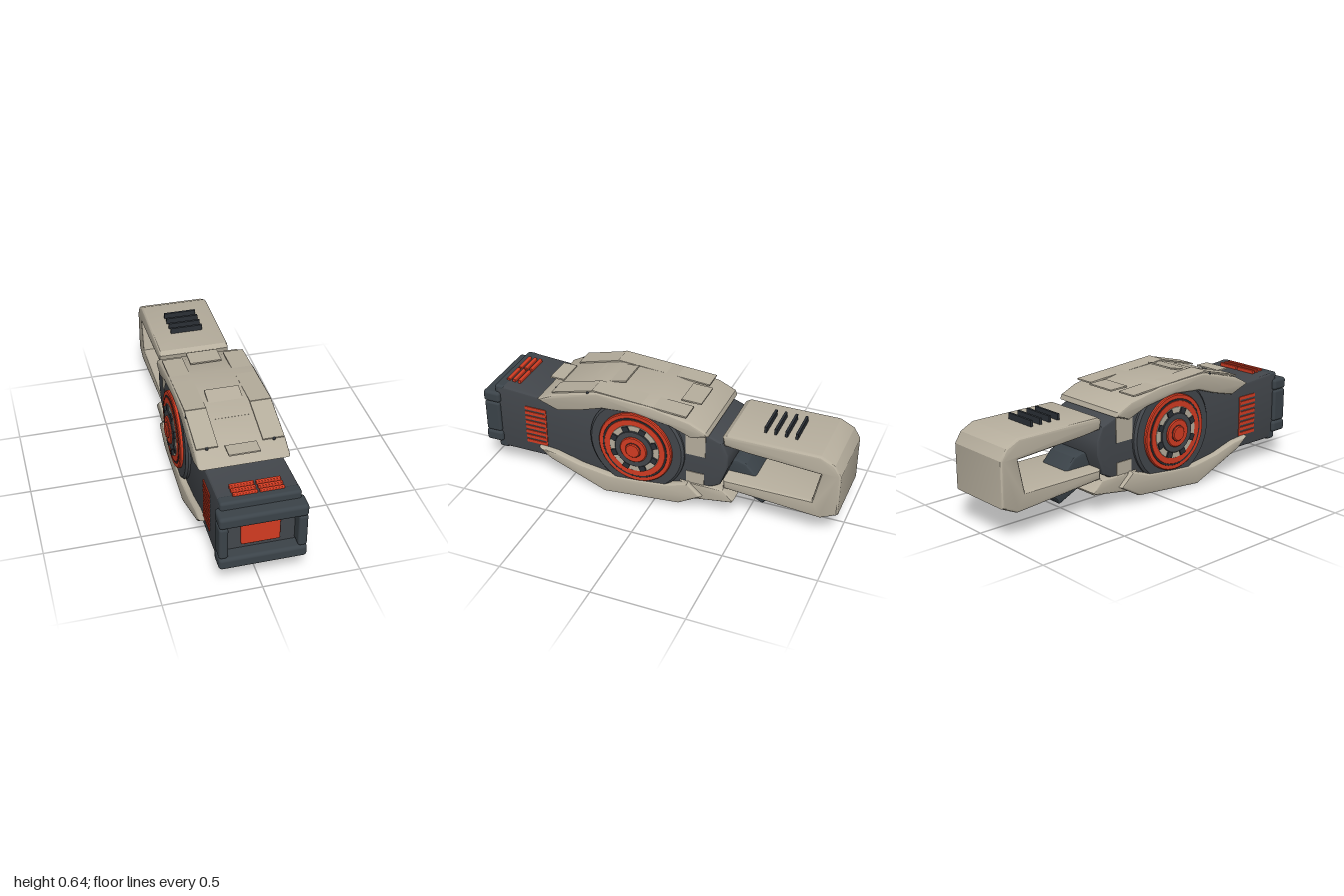
import * as THREE from 'three';
import { toCreasedNormals } from 'three/addons/utils/BufferGeometryUtils.js';
import { RoundedBoxGeometry } from 'three/addons/geometries/RoundedBoxGeometry.js';

const paint = (name, color) => {
  const m = new THREE.MeshStandardMaterial({ color });
  m.name = name;
  return m;
};

export function createModel() {
  const root = new THREE.Group();
  root.name = 'device';
  const shell = paint('warm grey', 0xb7af9e);
  const body = paint('charcoal', 0x43474c);
  const trim = paint('slate', 0x3b4349);
  const black = paint('black grey', 0x2b3036);
  const red = paint('red orange', 0xd43c22);

  const add = (name, geo, mat, x = 0, y = 0, z = 0, tilt = 0) => {
    const m = new THREE.Mesh(geo, mat);
    m.name = name;
    m.position.set(x, y, z);
    m.rotation.x = tilt;
    root.add(m);
    return m;
  };
  const box = (name, mat, w, h, d, x, y, z, r = 0) =>
    add(name, r ? new RoundedBoxGeometry(w, h, d, 3, r) : new THREE.BoxGeometry(w, h, d), mat, x, y, z);

  // Side profile of [z, y] points, extruded across x with bevelled flanks
  const slab = (name, mat, half, bevel, pts) => {
    const shape = new THREE.Shape(pts.map(([z, y]) => new THREE.Vector2(z, y)));
    const depth = 2 * (half - bevel);
    const g = new THREE.ExtrudeGeometry(shape, {
      depth, bevelEnabled: true, bevelSize: bevel, bevelThickness: bevel, bevelOffset: -bevel, bevelSegments: 3,
    });
    g.translate(0, 0, -depth / 2);
    g.rotateY(-Math.PI / 2);
    return add(name, toCreasedNormals(g, 0.5), mat);
  };

  // Thin plate running between two [z, y] points of its top edge
  const plate = (name, x, w, [z0, y0], [z1, y1]) => {
    const len = Math.hypot(z1 - z0, y1 - y0);
    add(name, new THREE.BoxGeometry(w, 0.008, len), shell, x, (y0 + y1) / 2 - 0.004, (z0 + z1) / 2,
      Math.atan2(y0 - y1, z1 - z0));
  };

  // Core body
  slab('coreBody', body, 0.2, 0.015, [
    [0.93, 0.13], [0.93, 0.5], [0.91, 0.51], [0.62, 0.49], [0.3, 0.57], [0, 0.56], [-0.25, 0.51],
    [-0.38, 0.46], [-0.41, 0.39], [-0.41, 0.31], [-0.37, 0.2], [-0.28, 0.15], [0.25, 0.06], [0.6, 0.12], [0.92, 0.12],
  ]);

  // Upper and lower armour
  slab('upperShell', shell, 0.232, 0.016, [
    [0.66, 0.5], [0.57, 0.55], [0.31, 0.622], [0, 0.606], [-0.21, 0.565], [-0.3, 0.525], [-0.31, 0.5],
    [-0.22, 0.47], [-0.1, 0.515], [0.1, 0.545], [0.28, 0.53], [0.4, 0.49], [0.54, 0.455],
  ]);
  slab('lowerShell', shell, 0.232, 0.016, [
    [0.67, 0.19], [0.6, 0.13], [0.28, 0], [-0.15, 0.04], [-0.28, 0.115], [-0.2, 0.185], [-0.08, 0.145],
    [0.1, 0.125], [0.25, 0.115], [0.42, 0.14], [0.56, 0.18],
  ]);
  slab('rearLowerShell', shell, 0.21, 0.012, [
    [-0.18, 0.07], [-0.44, 0.11], [-0.45, 0.125], [-0.39, 0.18], [-0.15, 0.18],
  ]);

  // Plates on the upper shell
  plate('frontCentrePlate', 0, 0.16, [0.57, 0.56], [0.65, 0.56]);
  plate('middleCentrePlate', 0, 0.18, [0.2, 0.64], [0.4, 0.598]);
  plate('rearCentrePlate', 0, 0.17, [-0.22, 0.597], [-0.11, 0.6]);
  for (const s of [1, -1]) {
    plate('rearSidePlate', s * 0.168, 0.11, [-0.19, 0.592], [0.335, 0.628]);
    plate('frontSidePlate', s * 0.168, 0.11, [0.33, 0.626], [0.57, 0.563]);
    for (const [x, y, z] of [[0.22, 0.607, 0.36], [0.17, 0.556, 0.57]])
      add('bolt', new THREE.SphereGeometry(0.009, 8, 6), black, s * x, y, z);

    // Light side inserts behind the wheel
    box('upperSideInsert', shell, 0.01, 0.15, 0.11, s * 0.199, 0.43, -0.235);
    box('lowerSideInsert', shell, 0.01, 0.085, 0.1, s * 0.199, 0.205, -0.235);

    // Side vents
    for (let i = 0; i < 8; i++)
      box('sideVent', red, 0.01, 0.018, 0.125, s * 0.2, 0.2 + i * 0.03, 0.69);
    box('sideVentSpine', red, 0.008, 0.22, 0.008, s * 0.2, 0.305, 0.63);

    // Top vents
    for (const z of [0.82, 0.853, 0.886])
      box('topVent', red, 0.123, 0.022, 0.018, s * 0.066, 0.511, z, 0.004);

    // Upright bars of the front frame
    box('frontSideBar', trim, 0.046, 0.185, 0.09, s * 0.195, 0.3125, 0.95, 0.014);
  }

  // Front frame and lens
  for (const y of [0.4375, 0.1875]) box('frontCrossBar', trim, 0.438, 0.066, 0.1, 0, y, 0.95, 0.018);
  box('frontUpperLip', trim, 0.4, 0.06, 0.06, 0, 0.481, 0.905, 0.015);
  box('frontLowerLip', trim, 0.4, 0.06, 0.06, 0, 0.142, 0.905, 0.015);
  box('frontLens', red, 0.195, 0.141, 0.03, 0, 0.3175, 0.932, 0.01);

  // Wheels: stepped discs showing on both flanks
  const disc = (name, mat, r, half, bevel = 0.003) => {
    const g = new THREE.LatheGeometry([
      [0, -half], [r - bevel, -half], [r, bevel - half], [r, half - bevel], [r - bevel, half], [0, half],
    ].map(([a, b]) => new THREE.Vector2(a, b)), 48);
    g.rotateZ(Math.PI / 2);
    add(name, toCreasedNormals(g, 0.5), mat, 0, 0.34, 0.09);
  };
  disc('wheelBase', body, 0.268, 0.224, 0.012);
  disc('wheelRim', red, 0.207, 0.241, 0.005);
  disc('wheelGroove', black, 0.184, 0.2425);
  disc('wheelInnerRim', red, 0.174, 0.244);
  disc('wheelLightRing', shell, 0.142, 0.2455);
  disc('wheelDarkRing', body, 0.108, 0.254);
  disc('wheelRedDisc', red, 0.076, 0.262, 0.005);
  disc('hubGroove', black, 0.046, 0.263);
  disc('hub', red, 0.041, 0.273, 0.005);
  for (let i = 0; i < 8; i++) {
    const a = (i + 0.5) * Math.PI / 4;
    const stud = box('wheelStud', black, 0.508, 0.036, 0.03, 0, 0.34 + 0.122 * Math.sin(a), 0.09 + 0.122 * Math.cos(a));
    stud.rotation.x = -a;
  }

  // Rear handle, open toward the body
  slab('handle', shell, 0.195, 0.016, [
    [-0.375, 0.495], [-0.4, 0.512], [-0.89, 0.512], [-0.965, 0.475], [-1, 0.42], [-1, 0.18], [-0.91, 0.138],
    [-0.385, 0.18], [-0.385, 0.235], [-0.86, 0.235], [-0.895, 0.405], [-0.5, 0.432], [-0.385, 0.445],
  ]);
  for (const z of [-0.57, -0.623, -0.68, -0.735])
    box('handleRib', black, 0.18, 0.045, 0.013, 0, 0.522, z);

  // Trigger passing through the lower arm
  slab('trigger', trim, 0.1, 0.014, [
    [-0.36, 0.3], [-0.43, 0.31], [-0.48, 0.295], [-0.55, 0.22], [-0.625, 0.12], [-0.575, 0.068], [-0.45, 0.125], [-0.36, 0.19],
  ]);
  return root;
}
